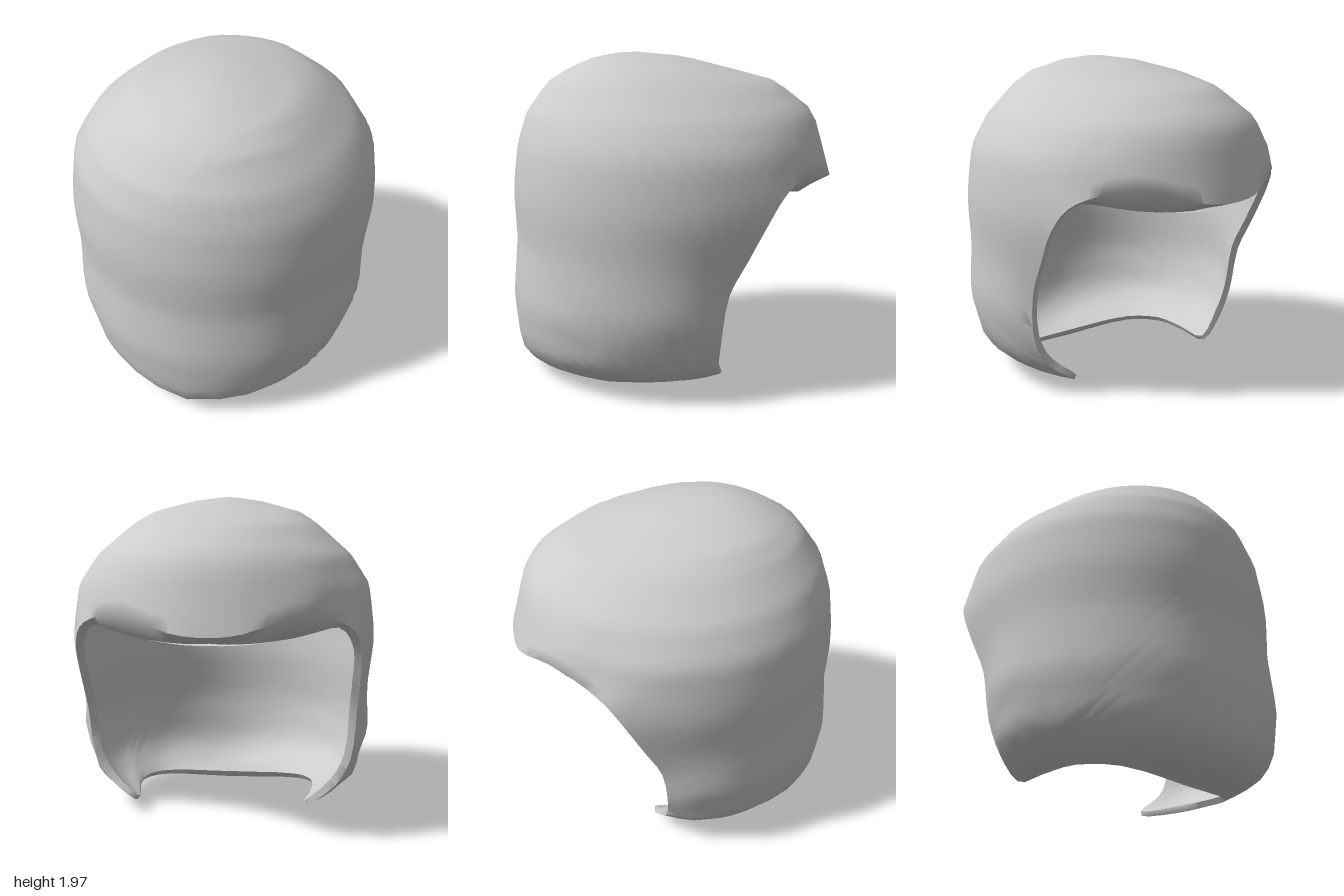
import * as THREE from 'three';
import { mergeVertices, toCreasedNormals } from 'three/addons/utils/BufferGeometryUtils.js';

const V = (x, y, z) => new THREE.Vector3(x, y, z);
const { lerp } = THREE.MathUtils;

// Horizontal sections: height, half width, front z, back z, z of the widest point
const SECTIONS = [
  [0, 0.3, 0.82, -0.3, 0], [0.03, 0.52, 0.87, -0.45, 0], [0.12, 0.72, 0.96, -0.7, 0],
  [0.22, 0.85, 0.98, -0.8, 0], [0.5, 0.935, 1.0, -0.9, 0], [0.85, 0.925, 0.965, -0.95, 0],
  [1.1, 0.94, 0.975, -1.0, 0], [1.22, 0.93, 0.97, -1.0, 0], [1.44, 0.9, 0.94, -0.94, 0],
  [1.62, 0.785, 0.88, -0.89, 0.02], [1.8, 0.585, 0.75, -0.66, 0.08], [1.88, 0.47, 0.62, -0.36, 0.14],
  [1.95, 0.22, 0.45, -0.08, 0.22], [1.98, 0.01, 0.25, 0.23, 0.24],
];

// Half of the opening's edge, from the middle of the back lip to the bottom front;
// the fourth number is the rim's thickness
const EDGE = [
  [0, 1.21, -1.0, 0.2], [0.2, 1.23, -0.98, 0.18], [0.5, 1.32, -0.83, 0.12],
  [0.67, 1.28, -0.68, 0.08], [0.79, 1.21, -0.57, 0.06], [0.84, 1.08, -0.48, 0.05],
  [0.84, 0.87, -0.37, 0.05], [0.83, 0.67, -0.27, 0.05], [0.8, 0.37, -0.23, 0.05],
  [0.71, 0.2, -0.23, 0.05], [0.54, 0.08, -0.26, 0.03], [0.58, 0.06, 0, 0.04],
  [0.58, 0.06, 0.25, 0.04], [0.46, 0.035, 0.47, 0.04], [0, 0.01, 0.54, 0.05],
];

const CENTRE = V(0, 1, 0);
const POLE = V(0, 0.6, 0.75).normalize();

function inside(p) {
  if (p.y <= 0 || p.y >= 1.98) return false;
  const k = SECTIONS.findIndex((s) => s[0] > p.y);
  const lo = SECTIONS[k - 1], hi = SECTIONS[k];
  const f = (p.y - lo[0]) / (hi[0] - lo[0]);
  const [, a, front, back, c] = lo.map((v, i) => lerp(v, hi[i], f));
  const d = p.z > c ? front - c : c - back;
  return (p.x / a) ** 2 + ((p.z - c) / d) ** 2 < 1;
}

// Distance from the centre to the outer skin
function radius(dir) {
  let lo = 0, hi = 2;
  for (let i = 0; i < 22; i++) {
    const mid = (lo + hi) / 2;
    if (inside(CENTRE.clone().addScaledVector(dir, mid))) lo = mid; else hi = mid;
  }
  return lo;
}

// Point on the way from the pole to an edge point, at share t;
// the skin bends to meet the edge over the last stretch
function skinPoint(edge, t) {
  const rel = edge.clone().sub(CENTRE);
  const end = rel.clone().normalize();
  const w = POLE.angleTo(end);
  const dir = POLE.clone().multiplyScalar(Math.sin((1 - t) * w) / Math.sin(w))
    .addScaledVector(end, Math.sin(t * w) / Math.sin(w));
  const r = radius(dir) + (rel.length() - radius(end)) * t ** 7;
  return CENTRE.clone().addScaledVector(dir, r);
}

// The lining follows the skin, set in towards the centre, under a flat sloping ceiling
function liningPoint(p, t, thickness) {
  const inward = CENTRE.clone().sub(p).normalize();
  const q = p.clone().addScaledVector(inward, lerp(0.06, thickness, t ** 8));
  q.y = Math.min(q.y, 1.42 + 0.33 * q.z);
  return q;
}

function shellGeometry() {
  const mirrored = EDGE.slice(1, -1).reverse().map(([x, ...rest]) => [-x, ...rest]);
  const loop = [...EDGE, ...mirrored];
  const STEP = 3, COLS = loop.length * STEP, ROWS = 26;
  const curve = new THREE.CatmullRomCurve3(loop.map(([x, y, z]) => V(x, y, z)), true, 'centripetal');
  const columns = Array.from({ length: COLS }, (_, j) => {
    const k = Math.floor(j / STEP), next = loop[(k + 1) % loop.length];
    return { edge: curve.getPoint(j / COLS), rim: lerp(loop[k][3], next[3], (j % STEP) / STEP) };
  });

  // Outer skin from pole to edge, then the lining from edge back to pole
  const outer = [], lining = [];
  for (let i = 0; i <= ROWS; i++) {
    const t = i / ROWS;
    const row = columns.map((c) => skinPoint(c.edge, t));
    outer.push(row);
    lining.unshift(row.map((p, j) => liningPoint(p, t, columns[j].rim)));
  }
  const rows = [...outer, ...lining];

  const pos = rows.flat().flatMap((p) => [p.x, p.y, p.z]);
  const index = [];
  for (let i = 0; i < rows.length - 1; i++) {
    for (let j = 0; j < COLS; j++) {
      const k = (j + 1) % COLS;
      const a = i * COLS + j, b = i * COLS + k, c = a + COLS, d = b + COLS;
      if (i > 0) index.push(a, b, d);
      if (i < rows.length - 2) index.push(a, d, c);
    }
  }
  const g = new THREE.BufferGeometry();
  g.setAttribute('position', new THREE.Float32BufferAttribute(pos, 3));
  g.setIndex(index);
  return toCreasedNormals(mergeVertices(g, 1e-5), 1.3);
}

export function createModel() {
  const group = new THREE.Group();
  const grey = new THREE.MeshStandardMaterial({ color: 0xcccccc, side: THREE.DoubleSide });
  grey.name = 'light grey';
  const shell = new THREE.Mesh(shellGeometry(), grey);
  shell.name = 'shell';
  group.add(shell);
  return group;
}
